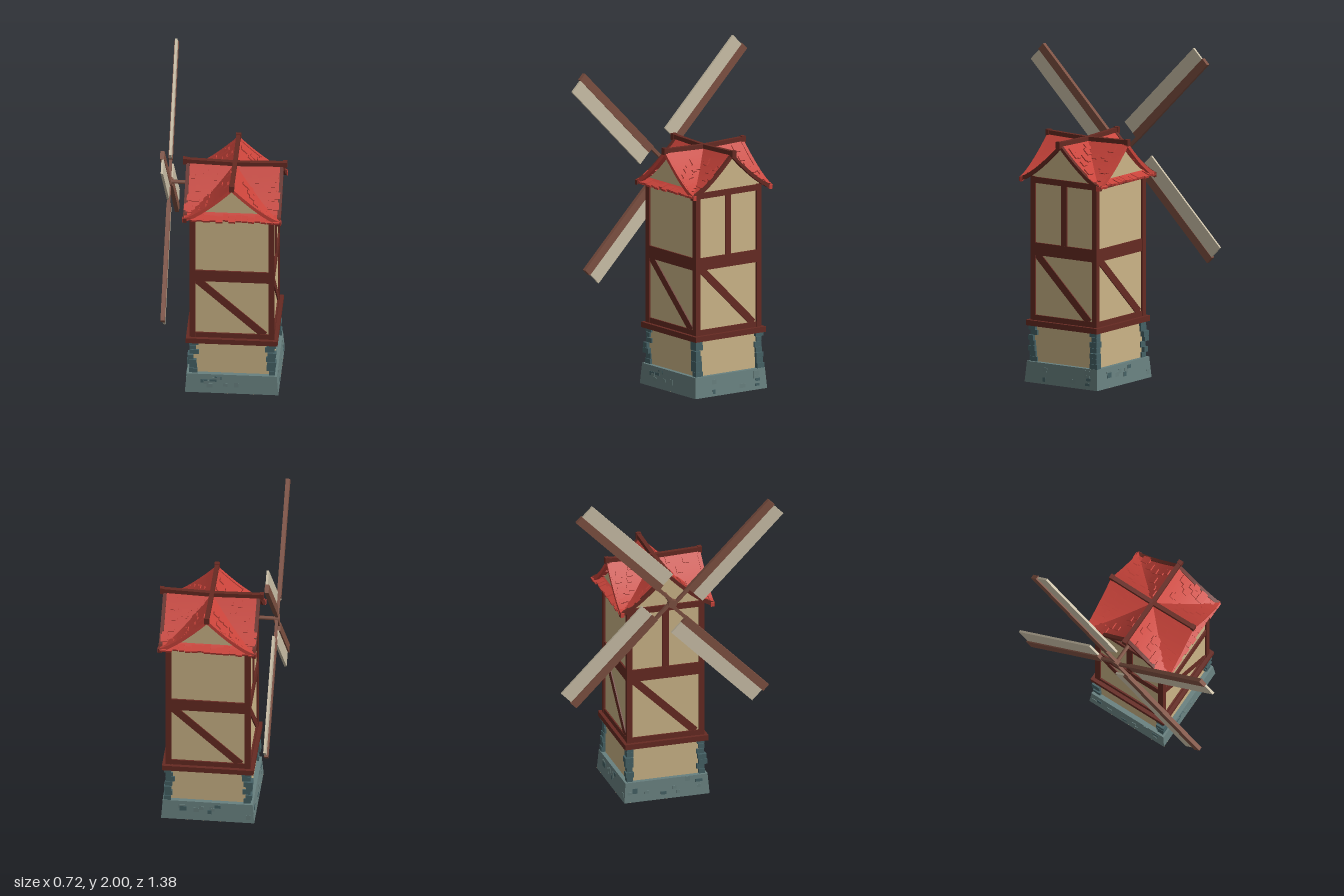
import * as THREE from 'three';

const mat = (name, color, side = THREE.FrontSide) => {
  const m = new THREE.MeshStandardMaterial({ color, side });
  m.name = name;
  return m;
};

export function createModel() {
  const plaster = mat('plaster', 0xcbb487, THREE.DoubleSide);
  const timber = mat('dark timber', 0x662a22);
  const red = mat('red roof', 0xc8433a, THREE.DoubleSide);
  const stone = mat('stone', 0x68807f);
  const darkStone = mat('dark stone', 0x456165);
  const sparWood = mat('spar wood', 0x7d5041);
  const canvas = mat('sail canvas', 0xcabfa7);

  let seed = 7;
  const rnd = (a, b) => {
    seed = (seed * 16807) % 2147483647;
    return a + (b - a) * (seed / 2147483647);
  };
  const add = (parent, name, geo, m, x = 0, y = 0, z = 0) => {
    const mesh = new THREE.Mesh(geo, m);
    mesh.name = name;
    mesh.position.set(x, y, z);
    parent.add(mesh);
    return mesh;
  };
  const box = (parent, name, m, w, h, d, x, y, z) =>
    add(parent, name, new THREE.BoxGeometry(w, h, d), m, x, y, z);
  const group = (parent, name) => {
    const g = new THREE.Group();
    g.name = name;
    parent.add(g);
    return g;
  };
  // open square tube with flat sides
  const squareTube = (top, bottom, height) => {
    const g = new THREE.CylinderGeometry(top * Math.SQRT2, bottom * Math.SQRT2, height, 4, 1, true, Math.PI / 4).toNonIndexed();
    g.computeVertexNormals();
    return g;
  };

  const model = new THREE.Group();
  model.name = 'windmill';

  // ---- tower: one side built four times around ----
  const tower = group(model, 'tower');
  tower.position.set(0.043, 0, 0.002);
  tower.scale.set(1.025, 1, 0.975);
  add(tower, 'plasterWalls', squareTube(0.236, 0.236, 1.24), plaster, 0, 0.62, 0);
  add(tower, 'stoneBase', squareTube(0.262, 0.272, 0.125), stone, 0, 0.0625, 0);
  const ledge = new THREE.RingGeometry(0.23 * Math.SQRT2, 0.263 * Math.SQRT2, 4, 1, Math.PI / 4);
  add(tower, 'baseLedge', ledge, stone, 0, 0.125, 0).rotation.x = -Math.PI / 2;
  const rim = new THREE.RingGeometry(0.235 * Math.SQRT2, 0.272 * Math.SQRT2, 4, 1, Math.PI / 4);
  add(tower, 'baseRim', rim, plaster, 0, 0.001, 0).rotation.x = -Math.PI / 2;

  for (let k = 0; k < 4; k++) {
    const side = group(tower, 'towerSide');
    side.rotation.y = k * Math.PI / 2;
    box(side, 'cornerPost', timber, 0.034, 0.88, 0.034, 0.23, 0.805, 0.23);
    box(side, 'lipBeam', timber, 0.53, 0.033, 0.04, 0, 0.358, 0.247);
    box(side, 'sillBeam', timber, 0.46, 0.035, 0.02, 0, 0.389, 0.235);
    box(side, 'middleBeam', timber, 0.46, 0.075, 0.024, 0, 0.807, 0.234);
    box(side, 'topBeam', timber, 0.48, 0.036, 0.024, 0, 1.224, 0.236);
    const brace = box(side, 'diagonalBrace', timber, 0.54, 0.046, 0.016, -0.008, 0.59, 0.235);
    brace.rotation.z = -Math.atan2(0.37, 0.39);
    if (k % 2) box(side, 'middlePost', timber, 0.042, 0.37, 0.018, 0, 1.025, 0.235);

    // rough quoin stones up the corner
    for (let i = 0; i < 7; i++) {
      const w = rnd(0.035, 0.055), d = rnd(0.035, 0.055), out = rnd(0.245, 0.262);
      box(side, 'quoinStone', darkStone, w, rnd(0.027, 0.034), d, out - w / 2, 0.14 + i * 0.032, out - d / 2);
    }
    // odd stones standing out of the base
    for (let i = 0; i < 9; i++) {
      const y = rnd(0.02, 0.108);
      box(side, 'baseStone', i % 3 ? stone : darkStone, rnd(0.02, 0.045), rnd(0.015, 0.032), 0.016,
        rnd(-0.24, 0.24), y, 0.2665 - y * 0.08);
    }
  }

  // ---- cross-gabled roof with a curved slope ----
  const H = 0.289, N = 8;
  const f = s => 1.235 + 0.225 * Math.pow(Math.max(0, 1 - s / H), 1.35);
  const roof = group(model, 'roof');
  roof.position.set(0.045, 0, 0.002);

  // surface from rows of [left point, right point], facing up
  const strip = rows => {
    const pos = [], idx = [];
    rows.forEach(([a, b], i) => {
      pos.push(...a, ...b);
      if (i) idx.push(2 * i - 2, 2 * i, 2 * i - 1, 2 * i - 1, 2 * i, 2 * i + 1);
    });
    const g = new THREE.BufferGeometry();
    g.setAttribute('position', new THREE.Float32BufferAttribute(pos, 3));
    g.setIndex(idx);
    g.computeVertexNormals();
    return g;
  };
  const steps = Array.from({ length: N + 1 }, (_, i) => (i / N) * H);

  // gable wall below the slope
  const gable = new THREE.Shape();
  gable.moveTo(-0.235, 1.22);
  gable.lineTo(0.235, 1.22);
  for (let i = N; i >= -N; i--) gable.lineTo(0.235 * i / N, f(Math.abs(0.235 * i / N)) - 0.006);
  // curved board along the gable edge
  const verge = new THREE.Shape();
  for (let i = -N; i <= N; i++) {
    const p = [H * 1.02 * i / N, f(Math.abs(H * i / N)) + 0.005];
    i === -N ? verge.moveTo(...p) : verge.lineTo(...p);
  }
  for (let i = N; i >= -N; i--) verge.lineTo(H * 1.02 * i / N, f(Math.abs(H * i / N)) - 0.022);

  for (let k = 0; k < 4; k++) {
    const arm = group(roof, 'roofArm');
    arm.rotation.y = k * Math.PI / 2;
    const onSide = k % 2 === 1;
    for (const sg of [1, -1]) {
      const rows = steps.map(s => {
        const inner = [sg * s, f(s), s], outer = [sg * s, f(s), H];
        return sg > 0 ? [inner, outer] : [outer, inner];
      });
      // rows run down the slope, so the winding is turned to face up
      add(arm, 'roofSlope', strip(rows.reverse()), red);
      // raised tiles
      for (let i = 0; i < 13; i++) {
        const s = rnd(0.03, 0.23), o = rnd(s + 0.02, 0.27);
        const slope = Math.atan((f(s + 0.01) - f(s - 0.01)) / 0.02);
        const tile = box(arm, 'roofTile', red, rnd(0.03, 0.05), 0.012, rnd(0.025, 0.045), sg * s, f(s) + 0.002, o);
        tile.rotation.z = sg * slope;
      }
    }
    add(arm, 'gableWall', new THREE.ShapeGeometry(gable), plaster, 0, 0, onSide ? 0.243 : 0.236);
    const board = new THREE.ExtrudeGeometry(verge, { depth: 0.022, bevelEnabled: false });
    add(arm, 'vergeBoard', board, onSide ? timber : red, 0, 0, H - 0.02);

    if (!onSide) {
      // low tiled skirt under the front and back gables
      const rows = [0.2, 0.23, 0.26, H].map(z => [[-H, f(z), z], [H, f(z), z]]);
      add(arm, 'eaveSkirt', strip(rows), red);
      for (let i = 0; i < 15; i++) {
        const t = box(arm, 'eaveTile', red, rnd(0.03, 0.042), 0.014, rnd(0.045, 0.065),
          -0.265 + i * 0.038, 1.24 + rnd(-0.005, 0.003), 0.268);
        t.rotation.x = 0.3;
      }
    }
    // ridge beam, rising a little to its thicker end
    const len = onSide ? 0.31 : 0.3;
    const ridge = box(arm, 'ridgeBeam', timber, 0.026, 0.026, len, 0, 1.463, len / 2);
    ridge.rotation.x = -0.03;
    box(arm, 'ridgeEnd', timber, 0.03, 0.04, 0.025, 0, 1.464, len - 0.012);
  }

  // ---- sails ----
  const sails = group(model, 'sails');
  sails.position.set(-0.345, 1.31, 0);
  sails.rotation.y = Math.PI / 2;
  const axle = add(sails, 'axle', new THREE.CylinderGeometry(0.012, 0.012, 0.22, 8), sparWood, 0, 0, 0.095);
  axle.rotation.x = Math.PI / 2;
  const hub = add(sails, 'hub', new THREE.CylinderGeometry(0.028, 0.028, 0.03, 8), sparWood);
  hub.rotation.x = Math.PI / 2;
  for (let k = 0; k < 4; k++) {
    const blade = group(sails, 'blade');
    blade.rotation.z = Math.PI / 4 + k * Math.PI / 2;
    box(blade, 'bladeArm', sparWood, 0.16, 0.02, 0.018, 0.08, 0.012, 0);
    box(blade, 'bladeSpar', sparWood, 0.717, 0.05, 0.025, 0.4885, 0.025, 0);
    box(blade, 'bladeSail', canvas, 0.71, 0.09, 0.014, 0.485, 0.092, 0.003);
  }

  return model;
}
